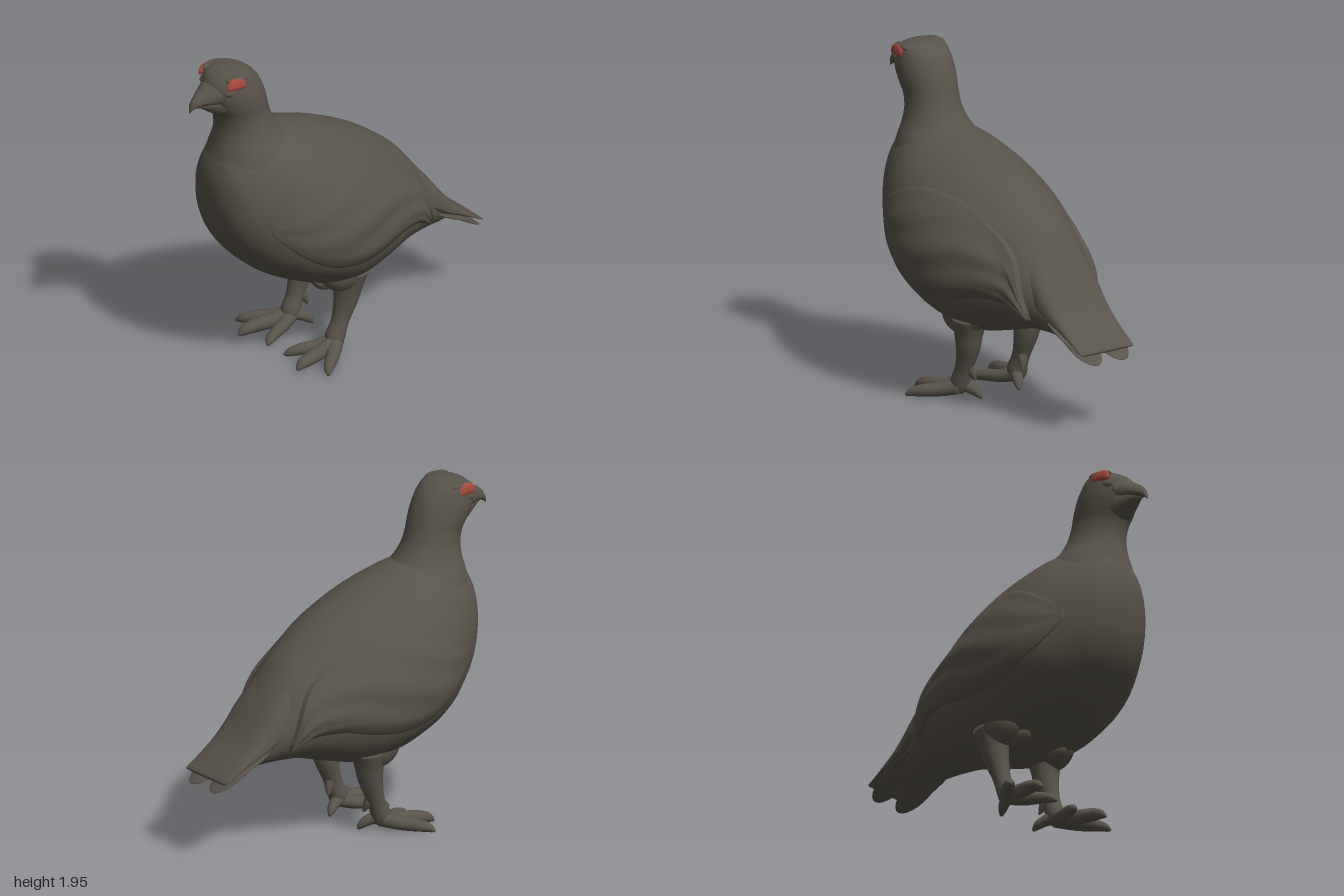
import * as THREE from 'three';

const plumage = new THREE.MeshStandardMaterial({ color: 0x59544a });
plumage.name = 'plumage';
const browRed = new THREE.MeshStandardMaterial({ color: 0xa34a3c });
browRed.name = 'browRed';

// Smooth interpolation through rows of numbers
function sample(rows, n) {
  const out = [];
  const at = i => rows[Math.max(0, Math.min(rows.length - 1, i))];
  for (let k = 0; k <= n; k++) {
    const t = (k / n) * (rows.length - 1);
    const i = Math.min(Math.floor(t), rows.length - 2), f = t - i;
    out.push(rows[0].map((_, c) => {
      const [a, b, d, e] = [at(i - 1)[c], at(i)[c], at(i + 1)[c], at(i + 2)[c]];
      return b + 0.5 * f * (d - a + f * (2 * a - 5 * b + 4 * d - e + f * (3 * (b - d) + e - a)));
    }));
  }
  return out;
}

// Closed skin over rings that run counter-clockwise around the direction of travel
function skin(rings) {
  const n = rings[0].length, pos = [], idx = [];
  rings.forEach(r => r.forEach(p => pos.push(p.x, p.y, p.z)));
  for (let i = 0; i < rings.length - 1; i++) {
    for (let j = 0; j < n; j++) {
      const a = i * n + j, b = i * n + (j + 1) % n;
      idx.push(a, b, a + n, b, b + n, a + n);
    }
  }
  [0, rings.length - 1].forEach((r, end) => {
    const c = new THREE.Vector3();
    rings[r].forEach(p => c.addScaledVector(p, 1 / n));
    const ci = pos.length / 3;
    pos.push(c.x, c.y, c.z);
    for (let j = 0; j < n; j++) {
      const a = r * n + j, b = r * n + (j + 1) % n;
      if (end) idx.push(ci, a, b); else idx.push(ci, b, a);
    }
  });
  const g = new THREE.BufferGeometry();
  g.setAttribute('position', new THREE.Float32BufferAttribute(pos, 3));
  g.setIndex(idx);
  g.computeVertexNormals();
  return g;
}

const ringOf = (n, f) => Array.from({ length: n }, (_, j) => f((j / n) * Math.PI * 2));
const pow = (v, p) => Math.sign(v) * Math.pow(Math.abs(v), p);

// Rows [x, bottom, top, halfWidth, yOfWidest]; powers below 1 make squarer sections
function loftX(rows, n, sides = 24, pTop = 1, pLow = 1) {
  return skin(sample(rows, n).map(([x, yb, yt, w, ym]) => ringOf(sides, a => {
    const p = Math.cos(a) > 0 ? pTop : pLow, s = pow(Math.cos(a), p);
    return new THREE.Vector3(x, ym + s * (s > 0 ? yt - ym : ym - yb), w * pow(Math.sin(a), p));
  })));
}

// Rows [y, front x, back x, halfWidth], rising in y
function loftY(rows, n = 50) {
  return skin(sample(rows, n).map(([y, xf, xb, w]) => ringOf(40, a =>
    new THREE.Vector3((xf + xb) / 2 + Math.sin(a) * (xb - xf) / 2, y, Math.cos(a) * w))));
}

// Tapering limb through rows [x, y, z, radius]
function limb(rows, n = 20) {
  const pts = sample(rows, n);
  const curve = new THREE.CatmullRomCurve3(pts.map(q => new THREE.Vector3(q[0], q[1], q[2])));
  const fr = curve.computeFrenetFrames(n, false);
  return skin(pts.map((q, i) => ringOf(14, a => new THREE.Vector3(q[0], q[1], q[2])
    .addScaledVector(fr.normals[i], Math.cos(a) * q[3])
    .addScaledVector(fr.binormals[i], Math.sin(a) * q[3]))));
}

const LOW = 0.87; // fullness of the belly
const bodyRows = [
  [-0.853, 1.17, 1.23, 0.02, 1.2], [-0.84, 1.05, 1.32, 0.11, 1.19], [-0.8, 0.91, 1.42, 0.2, 1.15],
  [-0.72, 0.775, 1.49, 0.285, 1.08], [-0.6, 0.65, 1.52, 0.37, 1.02], [-0.5, 0.58, 1.525, 0.425, 0.97],
  [-0.38, 0.52, 1.505, 0.46, 0.92], [-0.2, 0.45, 1.455, 0.472, 0.87], [0, 0.415, 1.38, 0.445, 0.84],
  [0.2, 0.455, 1.28, 0.385, 0.81], [0.4, 0.51, 1.135, 0.305, 0.77], [0.5, 0.52, 1.03, 0.265, 0.74],
  [0.6, 0.52, 0.895, 0.22, 0.7], [0.7, 0.515, 0.755, 0.17, 0.64], [0.82, 0.515, 0.61, 0.1, 0.57],
  [0.88, 0.525, 0.55, 0.03, 0.54],
];
const bodyDense = sample(bodyRows, 150);

// Half-width of the body at a given x and y
function bodyZ(x, y) {
  const i = Math.max(1, bodyDense.findIndex(r => r[0] >= x));
  const a = bodyDense[i - 1], b = bodyDense[i], f = (x - a[0]) / (b[0] - a[0]);
  const [, yb, yt, w, ym] = a.map((v, c) => v + (b[c] - v) * f);
  const p = y > ym ? 1 : LOW;
  const s = Math.min(1, Math.abs(y - ym) / (y > ym ? yt - ym : ym - yb));
  return w * Math.pow(1 - Math.pow(s, 2 / p), p / 2);
}

// Folded wing: fades into the back, lifts off along its lower and rear edges; rows [x, low, high, thickness]
function wingGeometry() {
  const rows = [
    [-0.66, 0.98, 1.04, 0.0], [-0.5, 0.82, 1.16, 0.008], [-0.3, 0.7, 1.25, 0.018], [-0.1, 0.66, 1.25, 0.023],
    [0.1, 0.68, 1.2, 0.026], [0.25, 0.71, 1.11, 0.03], [0.4, 0.7, 1.0, 0.034], [0.48, 0.66, 0.88, 0.036],
    [0.55, 0.62, 0.67, 0.03],
  ];
  const m = 24;
  return skin(sample(rows, 70).map(([x, lo, hi, t]) => {
    const outer = [], inner = [];
    const rear = THREE.MathUtils.smoothstep(x, 0.2, 0.5);
    for (let j = 0; j <= m; j++) {
      const v = j / m, y = hi + (lo - hi) * v, z = bodyZ(x, y);
      const lift = Math.min(1, (1 - v) * 8 + 0.1) * Math.max(rear, THREE.MathUtils.smoothstep(v, 0, 0.5));
      const ripple = 0.006 * Math.sin(v * 16 + x * 9) * Math.sin(v * Math.PI) * Math.min(1, t / 0.02);
      outer.push(new THREE.Vector3(x, y, z + t * lift + ripple));
      inner.unshift(new THREE.Vector3(x, y, z - 0.03));
    }
    return outer.concat(inner);
  }));
}

// Arched band with blunt, drooping ends
function browGeometry() {
  const g = new THREE.SphereGeometry(1, 32, 20);
  const p = g.attributes.position;
  for (let i = 0; i < p.count; i++) {
    const x = 0.062 * pow(p.getX(i), 0.75);
    p.setXYZ(i, x, 0.034 * pow(p.getY(i), 0.8) - 3.5 * x * x, 0.017 * p.getZ(i));
  }
  g.computeVertexNormals();
  return g;
}

export function createModel() {
  const model = new THREE.Group();
  model.name = 'groundBird';
  const add = (parent, name, geometry, material = plumage) => {
    const mesh = new THREE.Mesh(geometry, material);
    mesh.name = name;
    parent.add(mesh);
    return mesh;
  };
  const blob = (parent, name, [x, y, z], scale, rot = [0, 0, 0]) => {
    const mesh = add(parent, name, new THREE.SphereGeometry(1, 24, 16));
    mesh.position.set(x, y, z);
    mesh.scale.set(...scale);
    mesh.rotation.set(...rot);
  };

  add(model, 'body', loftX(bodyRows, 90, 48, 1, LOW));
  add(model, 'neckAndHead', loftY([
    [1.12, -0.8, -0.2, 0.24], [1.3, -0.835, -0.22, 0.275], [1.42, -0.81, -0.29, 0.24], [1.5, -0.793, -0.38, 0.19],
    [1.58, -0.787, -0.435, 0.161], [1.66, -0.805, -0.465, 0.153], [1.73, -0.845, -0.482, 0.16],
    [1.8, -0.875, -0.505, 0.163], [1.87, -0.873, -0.54, 0.156], [1.92, -0.845, -0.585, 0.143],
    [1.95, -0.795, -0.635, 0.105], [1.962, -0.74, -0.69, 0.03],
  ]));

  // Hooked beak
  add(model, 'upperBeak', loftX([
    [-1.0, 1.738, 1.755, 0.005, 1.747], [-0.985, 1.752, 1.802, 0.02, 1.775], [-0.95, 1.765, 1.84, 0.038, 1.79],
    [-0.9, 1.76, 1.87, 0.066, 1.81], [-0.83, 1.75, 1.91, 0.11, 1.82],
  ], 24));
  add(model, 'lowerBeak', loftX([
    [-0.955, 1.757, 1.772, 0.008, 1.766], [-0.92, 1.745, 1.79, 0.036, 1.77], [-0.87, 1.71, 1.81, 0.067, 1.77],
    [-0.8, 1.665, 1.82, 0.11, 1.76],
  ], 16));

  // Flat upper tail emerging from the rump
  add(model, 'upperTail', loftX([
    [0.36, 0.8, 1.06, 0.14, 0.88], [0.48, 0.72, 1.02, 0.215, 0.8], [0.6, 0.66, 0.895, 0.224, 0.72],
    [0.7, 0.605, 0.765, 0.212, 0.65], [0.8, 0.56, 0.65, 0.2, 0.595], [0.97, 0.488, 0.505, 0.19, 0.497],
  ], 36, 48, 0.75, 0.75));

  for (const side of [1, -1]) {
    const half = new THREE.Group();
    half.name = side > 0 ? 'leftSide' : 'rightSide';
    half.scale.z = side;
    model.add(half);

    // Red brow under a feathered ridge, with the eye below it
    const brow = add(half, 'brow', browGeometry(), browRed);
    brow.position.set(-0.768, 1.907, 0.137);
    brow.rotation.set(-0.15, -0.14, 0);
    blob(half, 'browRidge', [-0.745, 1.925, 0.118], [0.075, 0.023, 0.026], [0, -0.14, 0]);
    blob(half, 'eye', [-0.805, 1.852, 0.122], [0.03, 0.022, 0.016], [0, -0.4, 0]);

    add(half, 'wing', wingGeometry());
    // Flight feathers below the folded wing
    for (let k = 0; k < 3; k++) {
      blob(half, 'flightFeather', [0.36 - k * 0.03, 0.69 + k * 0.018, 0.278 + k * 0.014],
        [0.18, 0.017, 0.014], [0, 0.3, -0.2]);
    }

    // Tail feathers
    blob(half, 'tailFeather', [0.85, 0.523, 0.097], [0.175, 0.012, 0.098], [0, 0, -0.55]);
    blob(half, 'outerTailFeather', [0.76, 0.573, 0.14], [0.2, 0.012, 0.06], [0, 0, -0.45]);

    // Feathered leg
    blob(half, 'thigh', [-0.05, 0.54, 0.22], [0.17, 0.14, 0.105], [0, 0, 0.15]);
    blob(half, 'thighTuft', [-0.17, 0.45, 0.15], [0.07, 0.04, 0.05], [0, 0, -0.6]);
    add(half, 'leg', limb([
      [-0.01, 0.52, 0.22, 0.11], [-0.022, 0.42, 0.215, 0.085], [-0.035, 0.33, 0.21, 0.072], [-0.075, 0.2, 0.207, 0.052],
      [-0.11, 0.11, 0.205, 0.058], [-0.125, 0.06, 0.205, 0.048],
    ]));
    // Toes ending in claws
    const toes = {
      middleToe: [[-0.1, 0.08, 0.21, 0.045], [-0.22, 0.063, 0.235, 0.044], [-0.33, 0.055, 0.255, 0.04],
        [-0.405, 0.042, 0.265, 0.028], [-0.435, 0.018, 0.27, 0.008]],
      outerToe: [[-0.11, 0.08, 0.215, 0.045], [-0.19, 0.058, 0.29, 0.041], [-0.26, 0.048, 0.355, 0.036],
        [-0.31, 0.036, 0.4, 0.026], [-0.33, 0.018, 0.428, 0.008]],
      innerToe: [[-0.11, 0.08, 0.195, 0.042], [-0.2, 0.055, 0.158, 0.038], [-0.29, 0.047, 0.12, 0.034],
        [-0.35, 0.034, 0.092, 0.024], [-0.375, 0.017, 0.075, 0.008]],
      hindToe: [[-0.11, 0.09, 0.195, 0.038], [-0.055, 0.07, 0.165, 0.032], [-0.02, 0.045, 0.145, 0.024],
        [-0.002, 0.017, 0.135, 0.008]],
    };
    for (const name in toes) add(half, name, limb(toes[name], 16));
    add(half, 'heelTuft', limb([[-0.06, 0.24, 0.2, 0.035], [-0.035, 0.18, 0.185, 0.027], [-0.015, 0.13, 0.17, 0.006]], 10));
  }
  return model;
}
